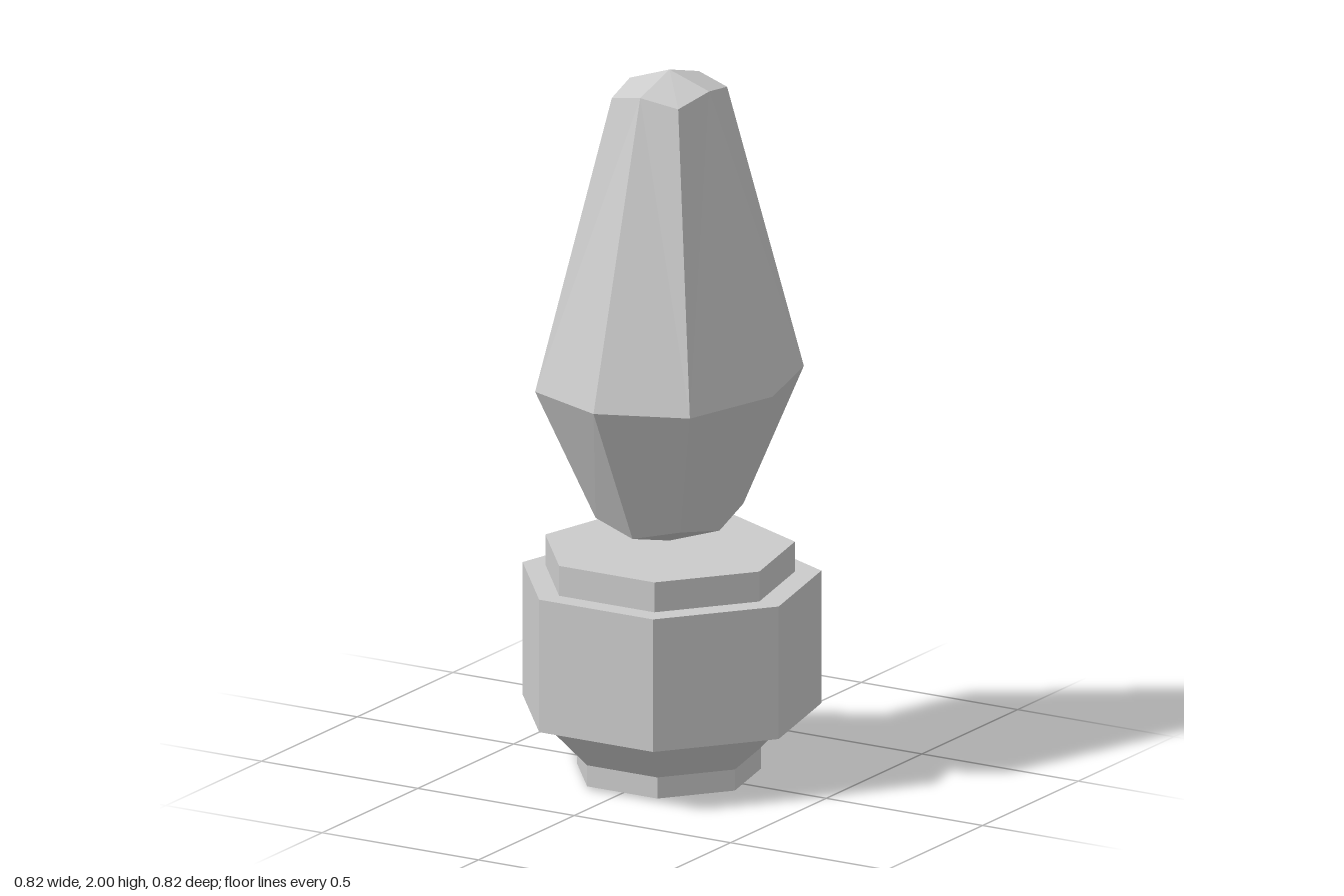
import * as THREE from 'three';

const grey = () => new THREE.MeshStandardMaterial({ color: 0xcccccc, flatShading: true });

// Seven-sided drum with one corner pointing to the back
function drum(name, rBottom, rTop, y0, y1, x, z) {
  const geo = new THREE.CylinderGeometry(rTop, rBottom, y1 - y0, 7, 1, false, Math.PI);
  const mesh = new THREE.Mesh(geo, grey());
  mesh.name = name;
  mesh.position.set(x, (y0 + y1) / 2, z);
  return mesh;
}

// Eight-sided faceted drop: each ring has four axis points and four corner points
function crystalGeometry() {
  const rings = [
    { x: 0.16, z: 0.193, y: 0.713, corner: 0.85, cornerY: 0.745 },
    { x: 0.33, z: 0.397, y: 1.12, corner: 0.75, cornerY: 1.12 },
    { x: 0.127, z: 0.153, y: 1.957, corner: 0.835, cornerY: 1.935 },
  ];
  const pos = [0, 0.66, 0];
  for (const r of rings) {
    for (let i = 0; i < 8; i++) {
      const a = (i * Math.PI) / 4;
      const odd = i % 2 === 1;
      const sx = odd ? Math.sign(Math.sin(a)) * r.corner : Math.sin(a);
      const sz = odd ? Math.sign(Math.cos(a)) * r.corner : Math.cos(a);
      pos.push(sx * r.x, odd ? r.cornerY : r.y, sz * r.z);
    }
  }
  pos.push(0, 2, 0);
  const tip = pos.length / 3 - 1;
  const at = (ring, i) => 1 + ring * 8 + (i % 8);
  const index = [];
  for (let i = 0; i < 8; i++) {
    index.push(0, at(0, i + 1), at(0, i));
    for (let r = 0; r < 2; r++) {
      const a = at(r, i), b = at(r, i + 1), c = at(r + 1, i + 1), d = at(r + 1, i);
      // mirror the split so both halves match
      if (i % 2) index.push(a, b, c, a, c, d);
      else index.push(a, b, d, b, c, d);
    }
    index.push(tip, at(2, i), at(2, i + 1));
  }
  const geo = new THREE.BufferGeometry();
  geo.setAttribute('position', new THREE.Float32BufferAttribute(pos, 3));
  geo.setIndex(index);
  const flat = geo.toNonIndexed();
  flat.computeVertexNormals();
  return flat;
}

export function createModel() {
  const group = new THREE.Group();
  group.name = 'crystalOnPedestal';

  // Pedestal, from the ground up
  group.add(
    drum('foot', 0.259, 0.259, 0, 0.06, -0.004, 0.009),
    drum('flare', 0.259, 0.378, 0.06, 0.18, -0.004, 0.009),
    drum('body', 0.42, 0.42, 0.18, 0.557, 0, 0.007),
    drum('topPlate', 0.351, 0.351, 0.557, 0.642, -0.003, 0.009),
  );

  // Floating crystal
  const crystal = new THREE.Mesh(crystalGeometry(), grey());
  crystal.name = 'crystal';
  crystal.position.set(0.006, 0, 0.012);
  group.add(crystal);
  return group;
}
